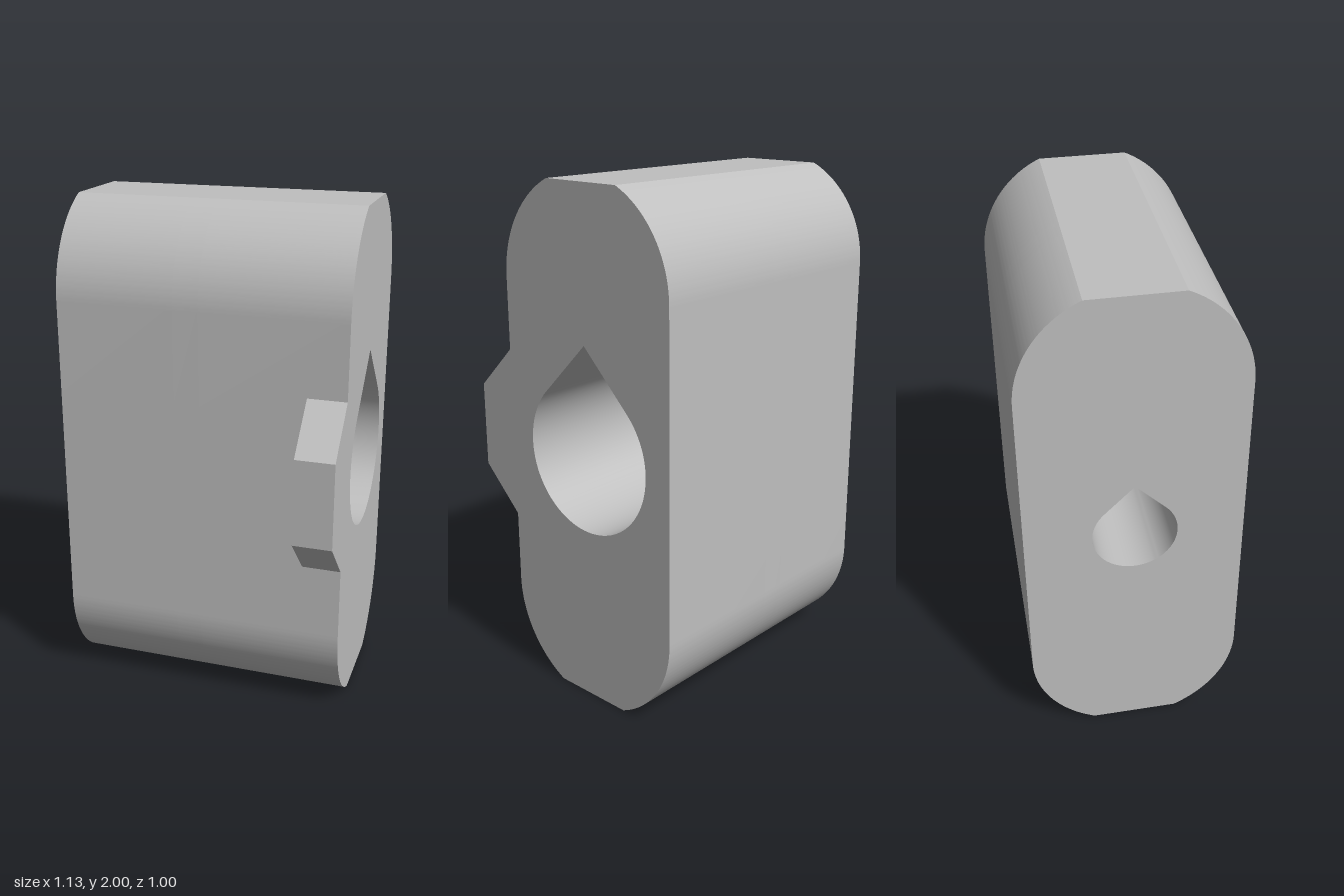
import * as THREE from 'three';
import { toCreasedNormals } from 'three/addons/utils/BufferGeometryUtils.js';

const MID = 0.0875;          // bore axis, measured towards the back (-z)
const R = 0.4125;            // radius of the rounded ends
const X0 = -0.565, X1 = 0.565;
const FLOOR = -0.1, TIP = 0; // depths of the bore floor and of its pointed roof
const BORE = 0.3, BOLT = 0.16;

// Oblong outline with flattened ends; shape x becomes -z
function bodyOutline() {
  const a = Math.acos(0.17 / R), cy = 1.624;
  const s = new THREE.Shape();
  s.absarc(MID, cy, R, 0, a, false);
  s.absarc(MID, cy, R, Math.PI - a, Math.PI, false);
  s.absarc(MID, 2 - cy, R, Math.PI, Math.PI + a, false);
  s.absarc(MID, 2 - cy, R, -a, 0, false);
  s.closePath();
  return s;
}

// Round hole with an optional 45 degree pointed roof
function hole(r, pointed) {
  const p = new THREE.Path();
  if (pointed) {
    p.absarc(MID, 1, r, Math.PI * 0.75, Math.PI * 2.25, false);
    p.lineTo(MID, 1 + r * Math.SQRT2);
    p.closePath();
  } else p.absarc(MID, 1, r, 0, Math.PI * 2, false);
  return p;
}

// Extrudes a side profile from x = a to x = b
function slab(shape, a, b) {
  const g = new THREE.ExtrudeGeometry(shape, { depth: b - a, bevelEnabled: false, curveSegments: 32 });
  g.rotateY(Math.PI / 2).translate(a, 0, 0);
  return toCreasedNormals(g, 0.4);
}

// Sloping roof from the bore's upper arc down to the chord at its floor
function boreRoof() {
  const pos = [], idx = [], n = 20;
  for (let i = 0; i <= n; i++) {
    const t = Math.PI * (0.25 + 0.5 * i / n);
    const z = -MID - BORE * Math.cos(t);
    pos.push(TIP, 1 + BORE * Math.sin(t), z, FLOOR, 1 + BORE * Math.SQRT1_2, z);
    if (i < n) idx.push(2 * i, 2 * i + 1, 2 * i + 2, 2 * i + 1, 2 * i + 3, 2 * i + 2);
  }
  const g = new THREE.BufferGeometry();
  g.setAttribute('position', new THREE.Float32BufferAttribute(pos, 3));
  g.setIndex(idx);
  g.computeVertexNormals();
  return g;
}

export function createModel() {
  const group = new THREE.Group();
  const grey = new THREE.MeshStandardMaterial({ color: 0xbfbfbf, side: THREE.DoubleSide });
  grey.name = 'light grey';
  const add = (name, geometry) => {
    const m = new THREE.Mesh(geometry, grey);
    m.name = name;
    group.add(m);
  };

  // Body in three sections: bolt hole, round bore, pointed bore
  const sections = [
    ['boltSection', X0, FLOOR, hole(BOLT, true)],
    ['boreFloorSection', FLOOR, TIP, hole(BORE, false)],
    ['boreSection', TIP, X1, hole(BORE, true)],
  ];
  for (const [name, a, b, cut] of sections) {
    const s = bodyOutline();
    s.holes.push(cut);
    add(name, slab(s, a, b));
  }
  add('boreRoof', boreRoof());

  // Chamfered tab on the front edge
  const tab = new THREE.Shape([[-0.32, 0.655], [-0.32, 1.345], [-0.5, 1.168], [-0.5, 0.832]]
    .map(([u, v]) => new THREE.Vector2(u, v)));
  add('tab', slab(tab, 0.415, X1));
  return group;
}
